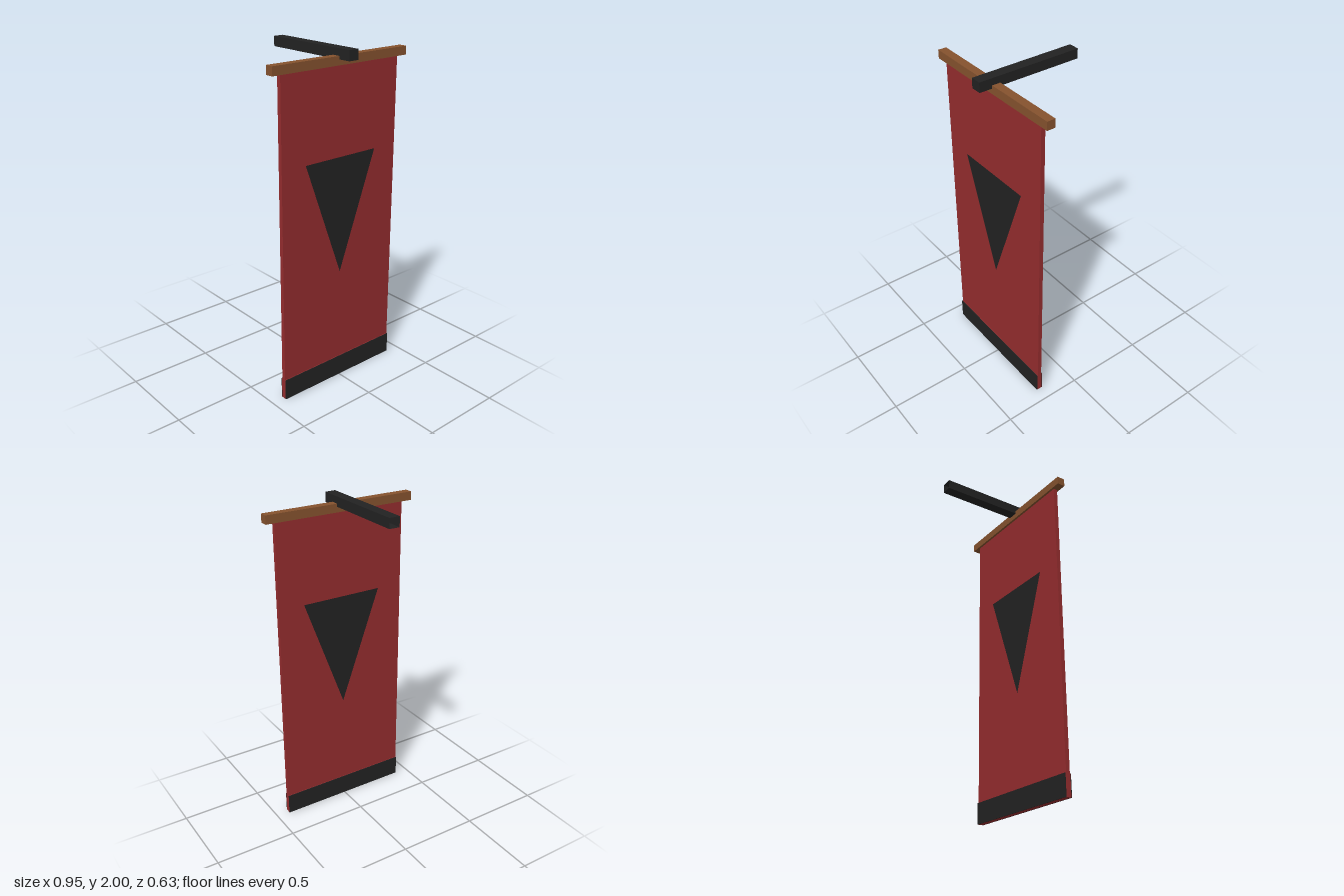
import * as THREE from 'three';

export function createModel() {
  const model = new THREE.Group();
  model.name = 'hangingBanner';

  const material = (name, color, side = THREE.FrontSide) => {
    const m = new THREE.MeshStandardMaterial({ color, side });
    m.name = name;
    return m;
  };
  const red = material('red cloth', 0x942c2e);
  const black = material('black', 0x222222, THREE.DoubleSide);
  const brown = material('brown wood', 0x85522e);

  const add = (name, geometry, mat, x, y, z) => {
    const mesh = new THREE.Mesh(geometry, mat);
    mesh.name = name;
    mesh.position.set(x, y, z);
    model.add(mesh);
    return mesh;
  };

  const clothZ = 0.216;

  // Wall beam, open at the back end where it meets the wall
  const beam = new THREE.BoxGeometry(0.064, 0.058, 0.634);
  beam.setIndex(Array.from(beam.index.array).slice(0, 30));
  beam.clearGroups();
  add('wallBeam', beam, black, 0, 1.971, 0);

  // Wooden crossbar
  add('crossbar', new THREE.BoxGeometry(0.95, 0.05, 0.05), brown, 0, 1.935, 0.215);

  // Hanging cloth and its thicker hem
  add('cloth', new THREE.BoxGeometry(0.834, 1.8, 0.025), red, 0, 1.015, clothZ);
  add('hemCore', new THREE.BoxGeometry(0.834, 0.127, 0.032), red, 0, 0.0635, clothZ);

  // Triangle emblem, pointing down
  const triangle = new THREE.Shape([
    new THREE.Vector2(-0.255, 1.4),
    new THREE.Vector2(0, 0.7),
    new THREE.Vector2(0.255, 1.4),
  ]);

  // Emblem and hem band on both faces
  for (const [label, s] of [['front', 1], ['back', -1]]) {
    const emblem = add(label + 'Emblem', new THREE.ShapeGeometry(triangle), black, 0, 0, clothZ + s * 0.0145);
    if (s < 0) emblem.rotation.y = Math.PI;
    add(label + 'HemBand', new THREE.BoxGeometry(0.834, 0.127, 0.004), black, 0, 0.0635, clothZ + s * 0.018);
  }

  return model;
}
